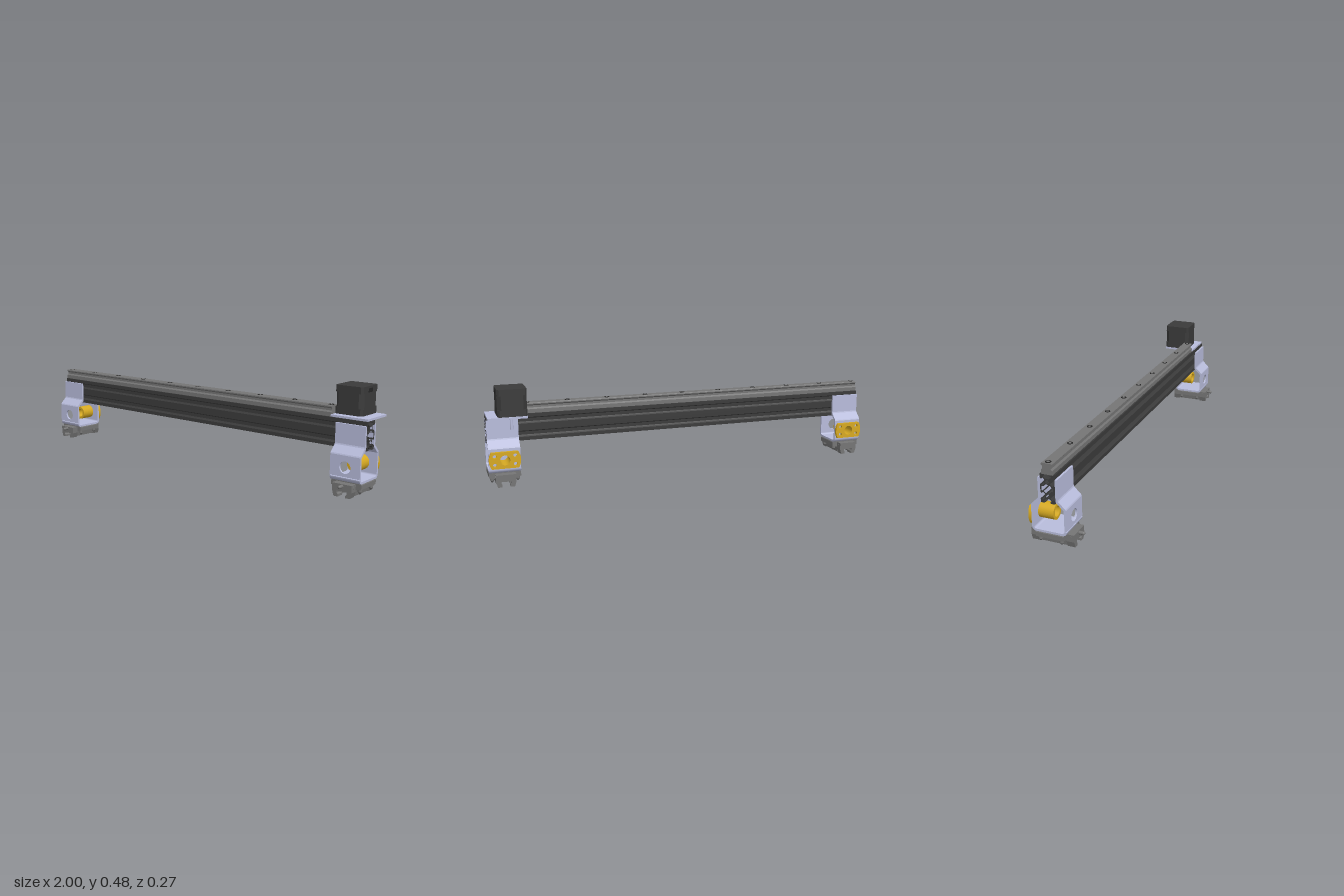
import * as THREE from 'three';

const mat = (name, color, side = THREE.FrontSide) => {
  const m = new THREE.MeshStandardMaterial({ color, side });
  m.name = name;
  return m;
};

export function createModel() {
  const black = mat('black anodised', 0x3b3b3b);
  const motorBlack = mat('motor black', 0x3a3a3a);
  const steel = mat('steel grey', 0x757575);
  const lavender = mat('pale metal', 0xb8bcdb);
  const brass = mat('brass', 0xd6a922);
  const dark = mat('dark recess', 0x262626);

  const root = new THREE.Group();
  root.name = 'linearGantry';
  const Z0 = 0.0055; // centre line of beam, rail and brackets

  const add = (parent, name, geo, material, x = 0, y = 0, z = 0) => {
    const m = new THREE.Mesh(geo, material);
    m.name = name;
    m.position.set(x, y, z);
    parent.add(m);
    return m;
  };
  const shapeOf = pts => new THREE.Shape(pts.map(p => new THREE.Vector2(p[0], p[1])));
  const mirrorX = pts => [...pts, ...pts.map(([x, y]) => [-x, y]).reverse()];
  const circle = (x, y, r) => new THREE.Path().absarc(x, y, r, 0, Math.PI * 2, true);
  const extrude = (shape, depth) =>
    new THREE.ExtrudeGeometry(shape, { depth, bevelEnabled: false, curveSegments: 20 });
  // Profile (across, up) swept along x, centred
  const alongX = (shape, length) =>
    extrude(shape, length).translate(0, 0, -length / 2).rotateY(Math.PI / 2);

  // Slotted double beam, drawn in millimetres then scaled
  const S = 0.00325;
  const quarter = [[2.8, 13.9], [5.6, 16.6], [5.6, 18.2], [3.1, 18.2], [4.6, 20], [10, 20],
    [10, 14.6], [8.2, 13.1], [8.2, 15.6], [6.6, 15.6], [3.9, 12.8], [3.9, 7.2],
    [6.6, 4.4], [8.2, 4.4], [8.2, 6.9], [10, 5.4]];
  const half = [...quarter, ...quarter.map(([x, y]) => [x, -y]).reverse()];
  const scale = pts => pts.map(([x, y]) => [x * S, y * S]);
  const beam = shapeOf(scale(mirrorX(half)));
  const hollow = [[2.5, 6.1], [5.6, 3], [8.2, 3], [8.2, -3], [5.6, -3], [2.5, -6.1]];
  beam.holes.push(circle(0, 10 * S, 2.6 * S), circle(0, -10 * S, 2.6 * S),
    shapeOf(scale(mirrorX(hollow))));
  add(root, 'beam', alongX(beam, 2), black, 0, 0.273, Z0);

  // Guide rail with waisted sides and a row of bolt holes
  const rail = mirrorX([[0.0255, 0.338], [0.0255, 0.357], [0.0185, 0.364], [0.0185, 0.374],
    [0.0245, 0.38], [0.0245, 0.385], [0.022, 0.388]]);
  add(root, 'guideRail', alongX(shapeOf(rail), 1.815), steel, -0.0925, 0, Z0);
  for (let i = 0; i < 10; i++) {
    const x = -0.982 + i * 0.198;
    add(root, 'railBoltHole', new THREE.CylinderGeometry(0.013, 0.013, 0.002, 20), dark, x, 0.3882, Z0);
    add(root, 'railBolt', new THREE.CylinderGeometry(0.007, 0.007, 0.003, 16), steel, x, 0.3882, Z0);
  }

  // Bent bracket: two shoulders, two drilled walls, rounded base
  const W = 0.15;
  function bracket() {
    const g = new THREE.Group();
    g.name = 'bracket';
    for (const s of [1, -1]) {
      const shoulder = [[0.0445, 0.32], [0.0445, 0.229], [0.0465, 0.223], [0.078, 0.1925],
        [0.0805, 0.187], [0.0805, 0.18], [0.0705, 0.18], [0.0705, 0.184], [0.0365, 0.217],
        [0.0345, 0.222], [0.0345, 0.32]].map(([z, y]) => [-s * z, y]);
      add(g, 'bracketShoulder', alongX(shapeOf(shoulder), W), lavender);
      const wall = shapeOf([[-W / 2, 0.09], [W / 2, 0.09], [W / 2, 0.18], [-W / 2, 0.18]]);
      wall.holes.push(circle(0, 0.133, s > 0 ? 0.028 : 0.036));
      add(g, 'bracketWall', extrude(wall, 0.01), lavender, 0, 0, s > 0 ? 0.0705 : -0.0805);
    }
    const base = new THREE.Shape();
    base.moveTo(-0.0805, 0.09);
    base.absarc(-0.0605, 0.087, 0.02, Math.PI, Math.PI * 1.5, false);
    base.absarc(0.0605, 0.087, 0.02, Math.PI * 1.5, Math.PI * 2, false);
    base.lineTo(0.0805, 0.09);
    base.lineTo(0.0705, 0.09);
    base.absarc(0.0605, 0.087, 0.01, 0, -Math.PI / 2, true);
    base.absarc(-0.0605, 0.087, 0.01, -Math.PI / 2, -Math.PI, true);
    base.lineTo(-0.0705, 0.09);
    add(g, 'bracketBase', alongX(base, W), lavender);
    return g;
  }

  // Flanged brass nut with bore and four screw holes
  function nut() {
    const g = new THREE.Group();
    g.name = 'flangedNut';
    const ring = new THREE.Shape().absarc(0, 0, 0.036, 0, Math.PI * 2, false);
    ring.holes.push(circle(0, 0, 0.024));
    const body = new THREE.ExtrudeGeometry(ring, { depth: 0.082, bevelEnabled: false, curveSegments: 40 });
    add(g, 'nutBody', body, brass, 0, 0, -0.075);
    const a = Math.asin(0.0405 / 0.075);
    const flange = new THREE.Shape();
    flange.absarc(0, 0, 0.075, -a, a, false);
    flange.absarc(0, 0, 0.075, Math.PI - a, Math.PI + a, false);
    flange.holes.push(circle(0, 0, 0.024));
    for (const x of [-0.048, 0.048]) for (const y of [-0.021, 0.021]) flange.holes.push(circle(x, y, 0.009));
    add(g, 'nutFlange', extrude(flange, 0.0145), brass, 0, 0, -0.09);
    g.position.y = 0.133;
    return g;
  }

  // Rail carriage: wide flanged body, narrower end caps, bolts, grease nipple
  function carriage() {
    const g = new THREE.Group();
    g.name = 'carriage';
    const channel = [[0.025, 0.029], [0.025, 0.02], [0.019, 0.014]];
    const body = mirrorX([...channel, [0.019, 0.009], [0.044, 0.009], [0.0485, 0.037],
      [0.0755, 0.042], [0.0755, 0.062], [0.073, 0.067]]);
    // the open channel lies between the mirrored first and last points
    add(g, 'carriageBody', extrude(shapeOf(body), 0.129), steel, 0, 0, -0.0645);
    const cap = mirrorX([...channel, [0.019, 0.003], [0.04, 0.003], [0.0485, 0.03], [0.0485, 0.063]]);
    for (const s of [1, -1]) {
      add(g, 'endCap', extrude(shapeOf(cap), 0.036), steel, 0, 0, s > 0 ? 0.0645 : -0.1005);
      for (const sx of [1, -1]) {
        const screw = new THREE.CylinderGeometry(0.007, 0.007, 0.003, 16).rotateZ(Math.PI / 2);
        add(g, 'capScrew', screw, steel, sx * 0.0485, 0.05, s * 0.082);
        add(g, 'flangeBolt', new THREE.CylinderGeometry(0.01, 0.01, 0.014, 16), steel, sx * 0.061, 0.035, s * 0.049);
        add(g, 'flangeBoltTip', new THREE.CylinderGeometry(0.01, 0.003, 0.01, 16), steel, sx * 0.061, 0.023, s * 0.049);
      }
    }
    const nipple = new THREE.CylinderGeometry(0.008, 0.008, 0.021, 16).rotateX(Math.PI / 2);
    add(g, 'greaseNipple', nipple, steel, 0, 0.053, 0.11);
    add(g, 'nippleTip', new THREE.SphereGeometry(0.008, 16, 10), steel, 0, 0.053, 0.1205);
    return g;
  }

  // One foot under each end of the beam
  for (const s of [-1, 1]) {
    const foot = new THREE.Group();
    foot.name = s > 0 ? 'leftFoot' : 'rightFoot';
    foot.position.x = s * 0.925;
    const b = bracket(), c = carriage();
    b.position.z = c.position.z = Z0;
    foot.add(b, c, nut());
    root.add(foot);
  }

  // Stepper motor on its plate, shaft pointing down
  const motor = new THREE.Group();
  motor.name = 'motor';
  motor.position.set(0.884, 0, -0.0645);
  const block = (name, c, y0, y1) => {
    const h = 0.069, k = h - c;
    const sq = shapeOf([[h, -k], [h, k], [k, h], [-k, h], [-h, k], [-h, -k], [-k, -h], [k, -h]]);
    add(motor, name, extrude(sq, y1 - y0).rotateX(-Math.PI / 2), motorBlack, 0, y0, 0);
  };
  block('motorFrontCap', 0.009, 0.35, 0.382);
  block('motorCore', 0.018, 0.382, 0.449);
  block('motorRearCap', 0.009, 0.449, 0.48);
  add(motor, 'motorSocket', new THREE.BoxGeometry(0.003, 0.018, 0.034), dark, 0.069, 0.461, 0);
  add(motor, 'motorShaft', new THREE.CylinderGeometry(0.0075, 0.0075, 0.076, 20), lavender, 0, 0.312, 0);
  root.add(motor);
  add(root, 'motorPlate', new THREE.BoxGeometry(0.185, 0.01, 0.1695), lavender, 0.9075, 0.344, -0.04925);

  return root;
}
